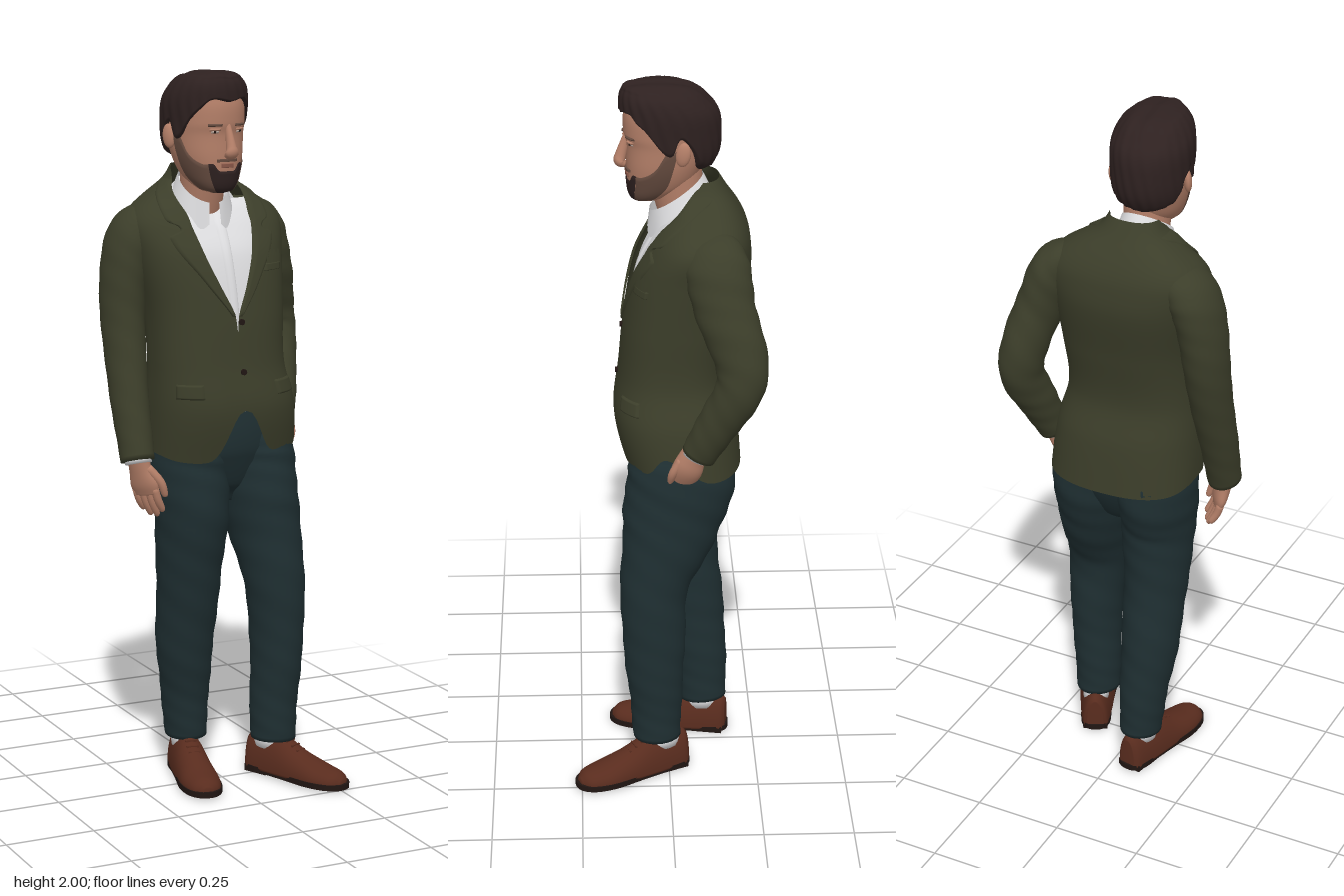
import * as THREE from 'three';

const mat = (name, color, side = THREE.FrontSide) => {
  const m = new THREE.MeshStandardMaterial({ color, side });
  m.name = name;
  return m;
};

// Smooth interpolation of rows [key, ...values]
function sample(rows, k) {
  const n = rows.length - 1;
  k = Math.min(Math.max(k, rows[0][0]), rows[n][0]);
  let i = 0;
  while (i < n - 1 && k > rows[i + 1][0]) i++;
  const a = rows[i], b = rows[i + 1], p = rows[Math.max(i - 1, 0)], q = rows[Math.min(i + 2, n)];
  const h = b[0] - a[0], t = (k - a[0]) / h, t2 = t * t, t3 = t2 * t;
  return a.slice(1).map((av, j) => {
    const bv = b[j + 1], ma = (bv - p[j + 1]) / (b[0] - p[0]), mb = (q[j + 1] - av) / (q[0] - a[0]);
    return (2 * t3 - 3 * t2 + 1) * av + (t3 - 2 * t2 + t) * h * ma + (3 * t2 - 2 * t3) * bv + (t3 - t2) * h * mb;
  });
}

// Surface from f(s, t) -> [x, y, z]; s runs around, t runs along
function grid(nu, nv, f, closed = false) {
  const pos = [], idx = [], w = closed ? nu : nu + 1;
  for (let j = 0; j <= nv; j++) for (let i = 0; i < w; i++) pos.push(...f(i / nu, j / nv));
  for (let j = 0; j < nv; j++) for (let i = 0; i < nu; i++) {
    const a = j * w + i, b = j * w + (i + 1) % w;
    idx.push(a, b, b + w, a, b + w, a + w);
  }
  const g = new THREE.BufferGeometry();
  g.setAttribute('position', new THREE.Float32BufferAttribute(pos, 3));
  g.setIndex(idx);
  g.computeVertexNormals();
  return g;
}

// Capped tube through sections [x, y, z, rx, rz], with optional cloth folds
function loft(sections, { nu = 28, nv = 30, fold = 0 } = {}) {
  const rows = sections.map((s, i) => [i, ...s]), n = rows.length - 1;
  return grid(nu, nv + 2, (s, t) => {
    const j = Math.round(t * (nv + 2)), k = Math.min(Math.max((j - 1) / nv, 0), 1) * n;
    const p = sample(rows, k), a = sample(rows, k - 0.05), b = sample(rows, k + 0.05), th = s * Math.PI * 2;
    const T = new THREE.Vector3(b[0] - a[0], b[1] - a[1], b[2] - a[2]).normalize();
    const X = new THREE.Vector3(1, 0, 0).addScaledVector(T, -T.x).normalize(), Z = X.clone().cross(T);
    const r = j === 0 || j === nv + 2 ? 0 : 1 + fold * Math.sin(k * 9 + 2 * th) * Math.sin(k * 4 + th);
    const u = p[3] * r * Math.sin(th), v = p[4] * r * Math.cos(th);
    return [0, 1, 2].map(c => p[c] + X.getComponent(c) * u + Z.getComponent(c) * v);
  }, true);
}

// Upright body surface from rows [y, cx, cz, rx, rz]; angle 0 faces front
const pw = (v, e) => Math.sign(v) * Math.abs(v) ** e;
const surface = (rows, e) => (th, y, off = 0) => {
  const [cx, cz, rx, rz] = sample(rows, y);
  return [cx + (rx + off) * pw(Math.sin(th), e), y, cz + (rz + off) * pw(Math.cos(th), e)];
};
// Thin raised plate on a surface; angles may depend on height
const val = (f, x) => (typeof f === 'function' ? f(x) : f);
const patch = (surf, a, b, y0, y1, off, nu = 14, nv = 14) => grid(nu, nv, (s, t) => {
  const y = y0 + (y1 - y0) * t, lo = val(a, y), hi = val(b, y);
  const rim = s === 0 || s === 1 || t === 0 || t === 1;
  return surf(lo + (hi - lo) * s, y, rim ? off - Math.min(Math.abs(off), 0.005) : off);
});

export function createModel() {
  const D = THREE.DoubleSide;
  const M = {
    jacket: mat('olive jacket', 0x3c3e2a, D), trousers: mat('dark teal trousers', 0x1f2f32),
    shirt: mat('white shirt', 0xdedee0, D), skin: mat('skin', 0xb58069), hair: mat('dark brown hair', 0x2e2120, D),
    stubble: mat('stubble', 0x654b3f, D), shoe: mat('brown leather', 0x592c1e), sole: mat('dark sole', 0x211613),
    lips: mat('lips', 0x8d5a4b), eye: mat('eye white', 0xb9a79c, D),
  };
  const root = new THREE.Group();
  root.name = 'standingMan';
  const add = (name, geo, m, parent = root) => {
    const mesh = new THREE.Mesh(geo, m);
    mesh.name = name;
    parent.add(mesh);
    return mesh;
  };
  const group = (name) => {
    const g = new THREE.Group();
    g.name = name;
    root.add(g);
    return g;
  };

  // Jacket body: open V at the chest, cut-away hem, raised over the pocketed hand
  const body = surface([
    [0.92, 0.01, -0.045, 0.211, 0.157], [1.08, 0.002, -0.02, 0.205, 0.168], [1.2, -0.012, -0.015, 0.188, 0.15],
    [1.35, -0.012, -0.035, 0.193, 0.155], [1.5, -0.02, -0.066, 0.213, 0.157], [1.58, -0.022, -0.085, 0.222, 0.136],
    [1.62, -0.025, -0.093, 0.2, 0.117], [1.66, -0.03, -0.097, 0.148, 0.092], [1.7, -0.037, -0.088, 0.092, 0.074],
    [1.74, -0.04, -0.075, 0.07, 0.062]], 0.82);
  const gapRows = [[1.3, 0], [1.35, 0.02], [1.42, 0.13], [1.5, 0.25], [1.58, 0.33], [1.62, 0.4], [1.66, 0.68], [1.7, 1.2], [1.74, 1.8]];
  const gap = y => Math.max(sample(gapRows, y)[0], 0);
  const bump = (x, c, w) => Math.exp(-(((x - c) / w) ** 2));
  const jacket = group('jacket');
  add('jacketBody', grid(120, 60, (s, t) => {
    const a = s > 0.5 ? (s - 1) * 2 * Math.PI : s * 2 * Math.PI;
    const hem = 0.938 + 0.145 * bump(a, 0, 0.21) + 0.075 * bump(a, 1.4, 0.3) + 0.03 * bump(a, 0.65, 0.4) + 0.02 * bump(a, -1.5, 0.5);
    const y = hem + (1.738 - hem) * t, g = gap(y);
    return body(g + s * 2 * (Math.PI - g), y);
  }), M.jacket, jacket);
  const lapelWidth = [[1.34, 0.03], [1.45, 0.2], [1.555, 0.38], [1.57, 0.18], [1.585, 0.2], [1.595, 0.34], [1.64, 0.45], [1.7, 0.7]];
  const outer = y => gap(y) + sample(lapelWidth, y)[0];
  add('leftLapel', patch(body, gap, outer, 1.34, 1.7, 0.007, 8, 50), M.jacket, jacket);
  add('rightLapel', patch(body, y => -outer(y), y => -gap(y), 1.34, 1.7, 0.007, 8, 50), M.jacket, jacket);
  add('leftPocketFlap', patch(body, 0.5, 1.0, 1.12, 1.16, 0.006), M.jacket, jacket);
  add('rightPocketFlap', patch(body, -1.0, -0.5, 1.12, 1.16, 0.006), M.jacket, jacket);
  add('chestPocket', patch(body, 0.42, 0.83, 1.455, 1.475, 0.006), M.jacket, jacket);
  add('pocketSquare', grid(16, 4, (s, t) => body(0.47 + 0.32 * s, 1.475 + t * (0.022 + 0.014 * Math.abs(Math.sin(s * 9))), 0.007)), M.jacket, jacket);
  for (const y of [1.325, 1.19]) {
    const b = add('jacketButton', new THREE.CylinderGeometry(0.008, 0.008, 0.008, 16).rotateX(Math.PI / 2), M.sole, jacket);
    b.position.set(...body(0.03, y, 0.003));
  }

  // Sleeves
  add('rightSleeve', loft([[-0.13, 1.6, -0.105, 0.035, 0.06], [-0.21, 1.562, -0.108, 0.062, 0.088], [-0.247, 1.45, -0.106, 0.062, 0.083],
    [-0.257, 1.29, -0.087, 0.058, 0.07], [-0.262, 1.1, -0.033, 0.052, 0.058], [-0.262, 0.945, 0.016, 0.046, 0.05]],
  { nv: 60, fold: 0.02 }), M.jacket, jacket);
  add('leftSleeve', loft([[0.09, 1.605, -0.108, 0.035, 0.06], [0.168, 1.562, -0.12, 0.062, 0.086], [0.214, 1.44, -0.148, 0.063, 0.08],
    [0.253, 1.28, -0.19, 0.06, 0.068], [0.24, 1.15, -0.135, 0.053, 0.058], [0.218, 1.035, -0.075, 0.042, 0.048]],
  { nv: 60, fold: 0.035 }), M.jacket, jacket);

  // Shirt front, placket, collar and cuffs
  const shirt = group('shirt');
  add('shirtFront', patch(body, -0.85, 0.85, 1.25, 1.645, -0.014, 30, 30), M.shirt, shirt);
  add('placket', patch(body, -0.04, 0.04, 1.3, 1.61, -0.009, 4), M.shirt, shirt);
  add('shirtTail', patch(body, -0.08, 0.08, 1.08, 1.15, -0.012), M.shirt, shirt);
  add('yoke', loft([[-0.035, 1.57, -0.085, 0.14, 0.09], [-0.04, 1.63, -0.072, 0.11, 0.08], [-0.045, 1.68, -0.045, 0.068, 0.068]], { nv: 10 }), M.shirt, shirt);
  add('shirtCollar', grid(60, 10, (s, t) => {
    const th = 0.22 + s * (2 * Math.PI - 0.44), c = Math.cos(th), a = Math.min(th, 2 * Math.PI - th);
    const drop = (1 - t) * (0.046 + 0.03 * bump(a, 0.5, 0.3)), r = 0.066 + 0.015 * (1 - t);
    return [-0.045 + r * Math.sin(th), 1.692 - 0.05 * c - drop, -0.024 - 0.008 * (1 - t) + (r + 0.006) * c];
  }), M.shirt, shirt);
  add('rightCuff', loft([[-0.262, 0.98, 0.008, 0.036, 0.04], [-0.261, 0.938, 0.02, 0.036, 0.04]], { nv: 4 }), M.shirt, shirt);
  add('leftCuff', loft([[0.219, 1.07, -0.09, 0.036, 0.042], [0.215, 1.027, -0.069, 0.036, 0.042]], { nv: 4 }), M.shirt, shirt);

  // Trousers
  const trousers = group('trousers');
  add('hips', loft([[0.01, 1.13, -0.03, 0.165, 0.12], [0.01, 1.02, -0.035, 0.183, 0.138], [0.013, 0.94, -0.04, 0.18, 0.132],
    [0.015, 0.85, -0.035, 0.11, 0.095], [0.015, 0.8, -0.025, 0.03, 0.05]], { nu: 40 }), M.trousers, trousers);
  add('leftLeg', loft([[0.095, 1.05, -0.035, 0.085, 0.125], [0.112, 0.93, -0.035, 0.106, 0.148], [0.12, 0.78, -0.005, 0.103, 0.135],
    [0.14, 0.6, 0.04, 0.086, 0.096], [0.15, 0.4, 0.042, 0.073, 0.086], [0.145, 0.24, 0.037, 0.067, 0.074], [0.143, 0.113, 0.035, 0.063, 0.067]],
  { nv: 70, fold: 0.025 }), M.trousers, trousers);
  add('rightLeg', loft([[-0.075, 1.05, -0.04, 0.085, 0.125], [-0.085, 0.93, -0.043, 0.104, 0.145], [-0.083, 0.78, -0.025, 0.099, 0.13],
    [-0.083, 0.6, -0.043, 0.088, 0.104], [-0.081, 0.4, -0.075, 0.08, 0.09], [-0.071, 0.24, -0.097, 0.067, 0.076], [-0.066, 0.113, -0.105, 0.058, 0.067]],
  { nv: 70, fold: 0.025 }), M.trousers, trousers);

  // Shoes: heel at the local origin, toe along +z
  const makeShoe = (name, x, z, turn) => {
    const g = group(name);
    g.position.set(x, 0, z);
    g.rotation.y = turn;
    const upper = loft([[0, 0.02, 0.002, 0.024, 0.08], [0, 0.02, 0.02, 0.038, 0.096], [0, 0.02, 0.08, 0.046, 0.102], [0, 0.02, 0.13, 0.05, 0.097],
      [0, 0.02, 0.19, 0.053, 0.068], [0, 0.02, 0.26, 0.055, 0.044], [0, 0.02, 0.315, 0.041, 0.031], [0, 0.02, 0.338, 0.014, 0.012]], { nv: 44, nu: 32 });
    const p = upper.attributes.position;
    for (let i = 0; i < p.count; i++) p.setY(i, Math.max(p.getY(i), 0.014));
    upper.computeVertexNormals();
    add('upper', upper, M.shoe, g);
    const half = [[0.022, 0], [0.041, 0.03], [0.045, 0.1], [0.051, 0.17], [0.058, 0.25], [0.045, 0.315], [0.018, 0.343]];
    const outline = [...half, ...half.map(([a, b]) => [-a, b]).reverse()].map(([a, b]) => new THREE.Vector3(a, -b, 0));
    const pts = new THREE.CatmullRomCurve3(outline, true).getPoints(60).map(v => new THREE.Vector2(v.x, v.y));
    const sole = new THREE.ExtrudeGeometry(new THREE.Shape(pts), { depth: 0.016, bevelEnabled: false }).rotateX(-Math.PI / 2);
    add('sole', sole.translate(0, 0.006, 0), M.sole, g);
    add('heel', new THREE.BoxGeometry(0.072, 0.02, 0.075), M.sole, g).position.set(0, 0.01, 0.048);
    for (let i = 0; i < 3; i++) add('lace', new THREE.BoxGeometry(0.034, 0.005, 0.005), M.shoe, g).position.set(0, 0.109 - i * 0.011, 0.148 + i * 0.018);
    add('sock', loft([[0, 0.08, 0.075, 0.038, 0.052], [0, 0.14, 0.078, 0.042, 0.052]], { nv: 3 }), M.shirt, g);
  };
  makeShoe('leftShoe', 0.113, -0.05, 0.43);
  makeShoe('rightShoe', -0.055, -0.175, -0.186);

  // Relaxed right hand
  const hand = group('rightHand');
  hand.position.set(-0.262, 0.95, 0.021);
  hand.rotation.set(0, 0.6, 0.22, 'ZYX');
  add('palm', loft([[0, 0.01, 0, 0.025, 0.03], [0, -0.03, 0, 0.023, 0.034], [0, -0.07, 0.002, 0.02, 0.043], [0, -0.1, 0.002, 0.013, 0.038]]), M.skin, hand);
  [0.05, 0.062, 0.058, 0.042].forEach((len, i) => {
    const z = 0.032 - i * 0.02;
    add('finger', loft([[0, -0.085, z, 0.011, 0.011], [0.004, -0.095 - len * 0.5, z, 0.011, 0.011],
      [0.014, -0.1 - len, z, 0.009, 0.009], [0.018, -0.106 - len, z, 0.004, 0.004]], { nu: 12, nv: 10 }), M.skin, hand);
  });
  add('thumb', loft([[0, -0.025, 0.024, 0.013, 0.013], [0.01, -0.07, 0.048, 0.012, 0.012], [0.016, -0.108, 0.05, 0.009, 0.009],
    [0.017, -0.116, 0.05, 0.003, 0.003]], { nu: 12, nv: 12 }), M.skin, hand);

  // Left hand tucked in the trouser pocket
  add('leftHand', loft([[0.217, 1.06, -0.08, 0.027, 0.032], [0.216, 1.02, -0.058, 0.027, 0.038], [0.211, 0.985, -0.045, 0.026, 0.042],
    [0.19, 0.935, -0.03, 0.018, 0.036]]), M.skin);
  add('leftThumb', loft([[0.222, 1.02, -0.03, 0.012, 0.012], [0.219, 0.98, -0.008, 0.012, 0.012], [0.205, 0.945, 0, 0.008, 0.008]], { nu: 12, nv: 10 }), M.skin);

  // Neck and head, turned slightly to the model's left
  add('neck', loft([[-0.045, 1.58, -0.06, 0.06, 0.066], [-0.045, 1.66, -0.035, 0.059, 0.065], [-0.045, 1.76, -0.018, 0.064, 0.075]]), M.skin);
  const head = group('head');
  head.position.x = -0.05;
  head.rotation.y = 0.15;
  const face = surface([
    [1.67, 0, 0.062, 0.008, 0.008], [1.675, 0, 0.056, 0.034, 0.034], [1.69, 0, 0.043, 0.054, 0.058], [1.72, 0, 0.02, 0.073, 0.086],
    [1.77, 0, 0.006, 0.089, 0.103], [1.83, 0, -0.006, 0.096, 0.116], [1.86, 0, -0.005, 0.098, 0.121], [1.92, 0, -0.006, 0.095, 0.12],
    [1.95, 0, 0, 0.078, 0.095], [1.97, 0, 0, 0.01, 0.01]], 0.92);
  add('face', grid(48, 44, (s, t) => face(s * 2 * Math.PI, 1.67 + 0.3 * t), true), M.skin, head);
  const beardTop = [[0, 1.732], [0.3, 1.734], [0.45, 1.752], [0.8, 1.752], [1.2, 1.778], [1.4, 1.825], [1.6, 1.83]];
  const beard = (a, b, off) => grid(24, 14, (s, t) => {
    const th = a + (b - a) * s, top = sample(beardTop, Math.abs(th))[0];
    return face(th, 1.671 + (top - 1.671) * t, t === 1 ? off - 0.003 : off);
  });
  add('chinBeard', beard(-0.62, 0.62, 0.0035), M.hair, head);
  add('leftStubble', beard(0.62, 1.6, 0.003), M.stubble, head);
  add('rightStubble', beard(-1.6, -0.62, 0.003), M.stubble, head);
  add('moustache', patch(face, -0.34, 0.34, 1.757, 1.765, 0.005), M.stubble, head);
  add('mouth', patch(face, -0.2, 0.2, 1.741, 1.753, 0.004), M.lips, head);
  add('nose', loft([[0, 1.86, 0.106, 0.008, 0.008], [0, 1.83, 0.115, 0.01, 0.012], [0, 1.797, 0.125, 0.014, 0.015],
    [0, 1.782, 0.128, 0.019, 0.015], [0, 1.772, 0.115, 0.015, 0.01]], { nu: 18, nv: 18 }), M.skin, head);
  for (const s of [-1, 1]) {
    const plate = (name, a, b, y0, y1, off, m) => add(name, patch(face, Math.min(s * a, s * b), Math.max(s * a, s * b), y0, y1, off, 6, 4), m, head);
    plate('eye', 0.26, 0.48, 1.834, 1.841, 0.003, M.eye);
    plate('iris', 0.34, 0.41, 1.834, 1.842, 0.005, M.sole);
    plate('eyelid', 0.22, 0.53, 1.84, 1.847, 0.006, M.skin);
    plate('eyebrow', 0.18, 0.58, 1.852, 1.859, 0.005, M.stubble);
    const ear = add('ear', new THREE.SphereGeometry(1, 16, 12), M.skin, head);
    ear.scale.set(0.011, 0.033, 0.02);
    ear.position.set(s * 0.1, 1.822, -0.025);
    ear.rotation.set(-0.15, s * -0.35, 0);
  }

  // Swept-back hair: full at the brow, rounded at the crown, with combed strands
  const hairShell = surface([
    [1.74, 0, -0.008, 0.08, 0.095], [1.8, 0, -0.012, 0.1, 0.126], [1.87, 0, -0.009, 0.106, 0.135], [1.92, 0, -0.004, 0.106, 0.131],
    [1.955, 0, 0.01, 0.096, 0.117], [1.978, 0, 0.02, 0.079, 0.1], [1.992, 0, 0.03, 0.055, 0.074], [2.0, 0, 0.035, 0, 0]], 0.95);
  const hairline = [[0, 1.915], [0.5, 1.922], [0.8, 1.895], [1.05, 1.865], [1.3, 1.818], [1.48, 1.815], [1.62, 1.86], [1.85, 1.83], [2.1, 1.775], [3.15, 1.75]];
  add('hair', grid(140, 36, (s, t) => {
    const a = s > 0.5 ? (s - 1) * 2 * Math.PI : s * 2 * Math.PI;
    const low = sample(hairline, Math.abs(a))[0], y = low + (2 - low) * (1 - (1 - t) ** 1.8);
    const groove = 0.0018 * Math.sin(22 * a + 40 * (y - 1.8)) * (1 - t);
    const [x, hy, z] = hairShell(a, y, t === 0 ? -0.014 : t === 1 ? 0 : groove);
    return [x, hy - 0.0025 * t * (1 + Math.sin(110 * x + 12 * z)), z];
  }, true), M.hair, head);

  return root;
}
